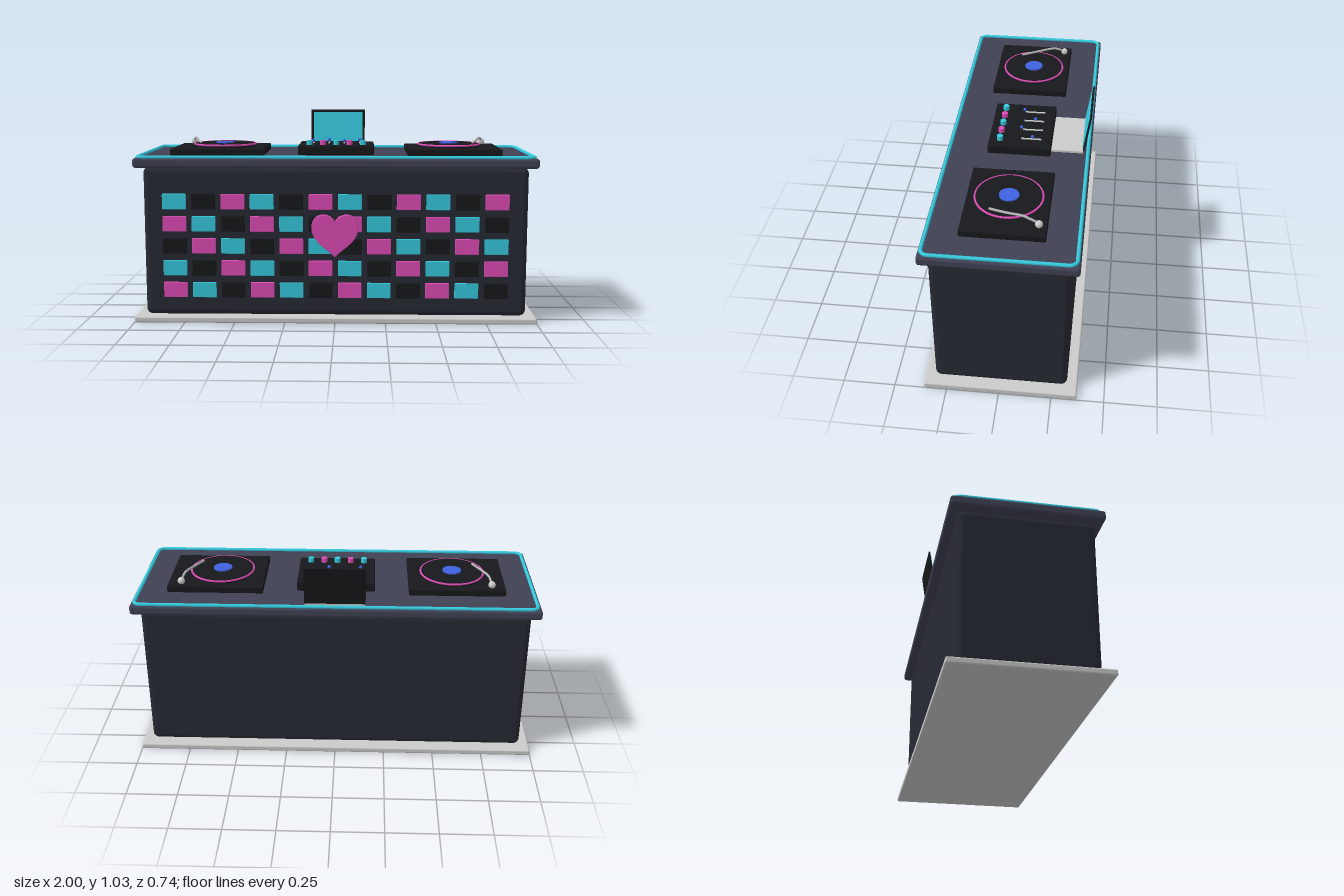
import * as THREE from 'three';
import { RoundedBoxGeometry } from 'three/addons/geometries/RoundedBoxGeometry.js';

const mat = (color) => new THREE.MeshStandardMaterial({ color });
const GREY = mat(0xcccccc), BODY = mat(0x272a34), TOP = mat(0x404255), BLACK = mat(0x17181b);
const CYAN = mat(0x36cbe0), PINK = mat(0xe04cb8), BLUE = mat(0x3f62e0), SILVER = mat(0xb4b4b4);
const ZC = -0.005; // depth centre of the booth

function add(parent, name, geometry, material, x = 0, y = 0, z = 0) {
  const mesh = new THREE.Mesh(geometry, material);
  mesh.name = name;
  mesh.position.set(x, y, z);
  parent.add(mesh);
  return mesh;
}
const rbox = (w, h, d, r, s = 3) => new RoundedBoxGeometry(w, h, d, s, r);
const disc = (r, h, n = 48) => new THREE.CylinderGeometry(r, r, h, n);

// Closed rounded rectangle in the xz plane
function roundedLoop(hw, hd, r) {
  const pts = [];
  [[1, 1], [-1, 1], [-1, -1], [1, -1]].forEach(([sx, sz], i) => {
    for (let k = 0; k <= 6; k++) {
      const a = (i + k / 6) * Math.PI / 2;
      pts.push(new THREE.Vector3(sx * (hw - r) + r * Math.cos(a), 0, sz * (hd - r) + r * Math.sin(a)));
    }
  });
  const path = new THREE.CurvePath();
  pts.forEach((p, i) => path.add(new THREE.LineCurve3(p, pts[(i + 1) % pts.length])));
  return path;
}

function heartGeometry() {
  const s = new THREE.Shape();
  s.moveTo(0, -0.105);
  s.bezierCurveTo(-0.035, -0.065, -0.115, -0.03, -0.112, 0.04);
  s.bezierCurveTo(-0.11, 0.115, -0.02, 0.115, 0, 0.06);
  s.bezierCurveTo(0.02, 0.115, 0.11, 0.115, 0.112, 0.04);
  s.bezierCurveTo(0.115, -0.03, 0.035, -0.065, 0, -0.105);
  return new THREE.ExtrudeGeometry(s, {
    depth: 0.015, bevelEnabled: true, bevelThickness: 0.004, bevelSize: 0.003, bevelSegments: 2, curveSegments: 14,
  });
}

// Turntable, side = +1 or -1
function turntable(side) {
  const g = new THREE.Group();
  g.name = side > 0 ? 'leftTurntable' : 'rightTurntable';
  const px = side * 0.58, pz = -0.008;
  add(g, 'deck', rbox(0.475, 0.034, 0.39, 0.006, 2), BLACK, side * 0.597, 0.837, ZC);
  add(g, 'platter', disc(0.155, 0.014), BLACK, px, 0.86, pz);
  add(g, 'record', disc(0.153, 0.006), BLACK, px, 0.868, pz);
  const ring = add(g, 'platterRing', new THREE.TorusGeometry(0.157, 0.005, 8, 64), PINK, px, 0.867, pz);
  ring.rotation.x = Math.PI / 2;
  add(g, 'recordLabel', disc(0.047, 0.008, 32), BLUE, px, 0.873, pz);
  // Tonearm
  const arm = new THREE.CatmullRomCurve3([
    [0.766, 0.872, -0.165], [0.756, 0.889, -0.115], [0.746, 0.892, -0.09], [0.72, 0.883, -0.01], [0.69, 0.875, 0.07],
  ].map(([x, y, z]) => new THREE.Vector3(side * x, y, z)));
  add(g, 'tonearm', new THREE.TubeGeometry(arm, 28, 0.006, 8), SILVER);
  add(g, 'armPivot', new THREE.SphereGeometry(0.018, 20, 14), GREY, side * 0.767, 0.868, -0.163);
  return g;
}

function mixer() {
  const g = new THREE.Group();
  g.name = 'mixer';
  add(g, 'mixerBox', rbox(0.387, 0.048, 0.31, 0.007, 2), BLACK, 0, 0.844, -0.01);
  for (let i = 0; i < 5; i++) {
    add(g, 'knob', disc(0.015, 0.024, 20), i % 2 ? PINK : CYAN, (i - 2) * 0.068, 0.879, 0.09);
  }
  for (let i = 0; i < 4; i++) {
    const x = (i - 1.5) * 0.08;
    add(g, 'faderSlot', new THREE.BoxGeometry(0.008, 0.006, 0.1), GREY, x, 0.869, -0.063);
    add(g, 'faderCap', new THREE.SphereGeometry(0.009, 14, 10), BLUE, x, 0.883, i % 2 ? -0.07 : -0.007);
  }
  return g;
}

function laptop() {
  const g = new THREE.Group();
  g.name = 'laptop';
  add(g, 'laptopBase', rbox(0.295, 0.018, 0.175, 0.004, 2), GREY, 0, 0.825, -0.235);
  // Lid hinged at the back, leaning backwards
  const lid = new THREE.Group();
  lid.name = 'laptopLid';
  lid.position.set(0, 0.833, -0.324);
  lid.rotation.x = -0.15;
  add(lid, 'lidPanel', new THREE.BoxGeometry(0.295, 0.198, 0.007), BLACK, 0, 0.1, 0);
  add(lid, 'screen', new THREE.BoxGeometry(0.268, 0.17, 0.003), CYAN, 0, 0.099, 0.007);
  g.add(lid);
  return g;
}

export function createModel() {
  const model = new THREE.Group();
  model.name = 'djBooth';

  // Booth
  add(model, 'basePlate', rbox(2, 0.03, 0.73, 0.008), GREY, 0, 0.015, ZC);
  add(model, 'body', rbox(1.9, 0.745, 0.632, 0.03, 4), BODY, 0, 0.402, ZC);
  add(model, 'counterTop', rbox(1.985, 0.048, 0.712, 0.014), TOP, 0, 0.797, ZC);
  add(model, 'edgeTrim', new THREE.TubeGeometry(roundedLoop(0.974, 0.341, 0.035), 800, 0.009, 8, true), CYAN, 0, 0.825, ZC);

  // Front light tiles in a diagonal three-colour pattern
  const tiles = new THREE.Group();
  tiles.name = 'frontTiles';
  const tileGeo = rbox(0.118, 0.077, 0.024, 0.003, 1);
  for (let r = 0; r < 5; r++) {
    for (let c = 0; c < 12; c++) {
      add(tiles, 'tile', tileGeo, [CYAN, BLACK, PINK][(c - r + 15) % 3], (c - 5.5) * 0.1448, 0.604 - r * 0.111, 0.309);
    }
  }
  model.add(tiles);
  add(model, 'heart', heartGeometry(), PINK, 0, 0.446, 0.352);

  // Equipment
  model.add(turntable(1), turntable(-1), mixer(), laptop());
  return model;
}
